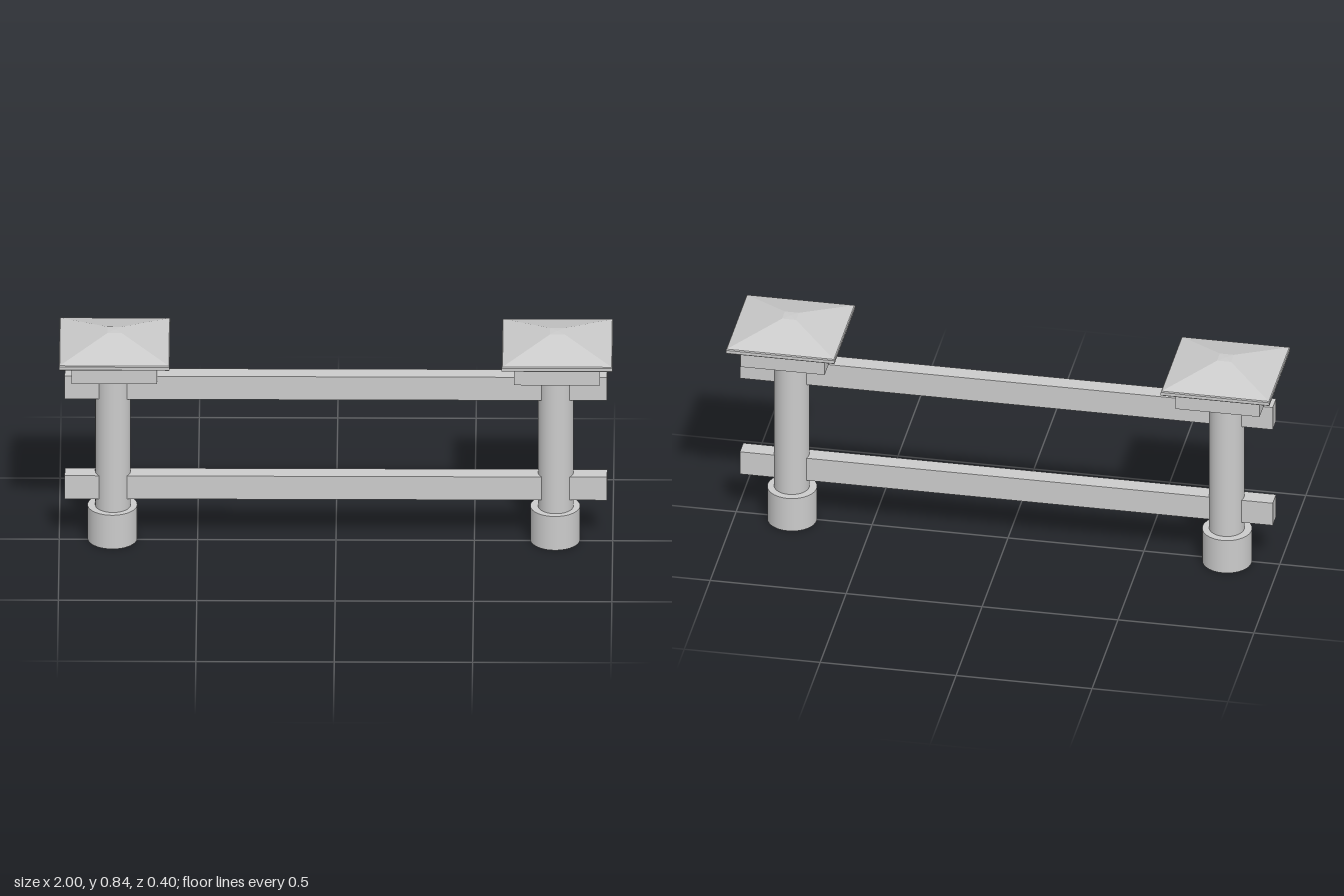
import * as THREE from 'three';

const material = new THREE.MeshStandardMaterial({ color: 0xcccccc });
const flatMaterial = new THREE.MeshStandardMaterial({ color: 0xcccccc, flatShading: true });

function addPart(parent, name, geometry, x, y, z, mat = material) {
  const mesh = new THREE.Mesh(geometry, mat);
  mesh.name = name;
  mesh.position.set(x, y, z);
  parent.add(mesh);
  return mesh;
}

// Square solid from [halfWidth, y] steps, listed bottom to top
function squareProfile(steps) {
  const points = steps.map(([half, y]) => new THREE.Vector2(half * Math.SQRT2, y));
  return new THREE.LatheGeometry(points, 4).rotateY(Math.PI / 4);
}

function createPost(name) {
  const post = new THREE.Group();
  post.name = name;
  // Round footing, shaft and neck ring sit slightly off the cap's centre
  addPart(post, 'footing', new THREE.CylinderGeometry(0.09, 0.09, 0.136, 40), -0.008, 0.068, -0.01);
  addPart(post, 'shaft', new THREE.CylinderGeometry(0.064, 0.064, 0.57, 40), -0.006, 0.41, -0.007);
  addPart(post, 'neckRing', new THREE.CylinderGeometry(0.076, 0.076, 0.018, 40), -0.006, 0.693, -0.007);
  // Square cap block with an overhanging pyramid roof
  addPart(post, 'capBlock', new THREE.BoxGeometry(0.31, 0.075, 0.31), 0, 0.7385, 0);
  addPart(post, 'capRoof', squareProfile([
    [0, 0.776], [0.197, 0.776], [0.2, 0.779], [0.2, 0.791], [0.197, 0.795],
    [0.026, 0.843], [0, 0.844],
  ]), 0, 0, 0, flatMaterial);
  return post;
}

export function createModel() {
  const model = new THREE.Group();
  model.name = 'railFence';

  for (const [name, x] of [['leftPost', 0.8], ['rightPost', -0.8]]) {
    const post = createPost(name);
    post.position.x = x;
    model.add(post);
  }

  // Two rails running through both posts
  for (const [name, y] of [['lowerRail', 0.225], ['upperRail', 0.626]]) {
    addPart(model, name, new THREE.BoxGeometry(1.96, 0.093, 0.064), 0, y, 0);
  }
  return model;
}
